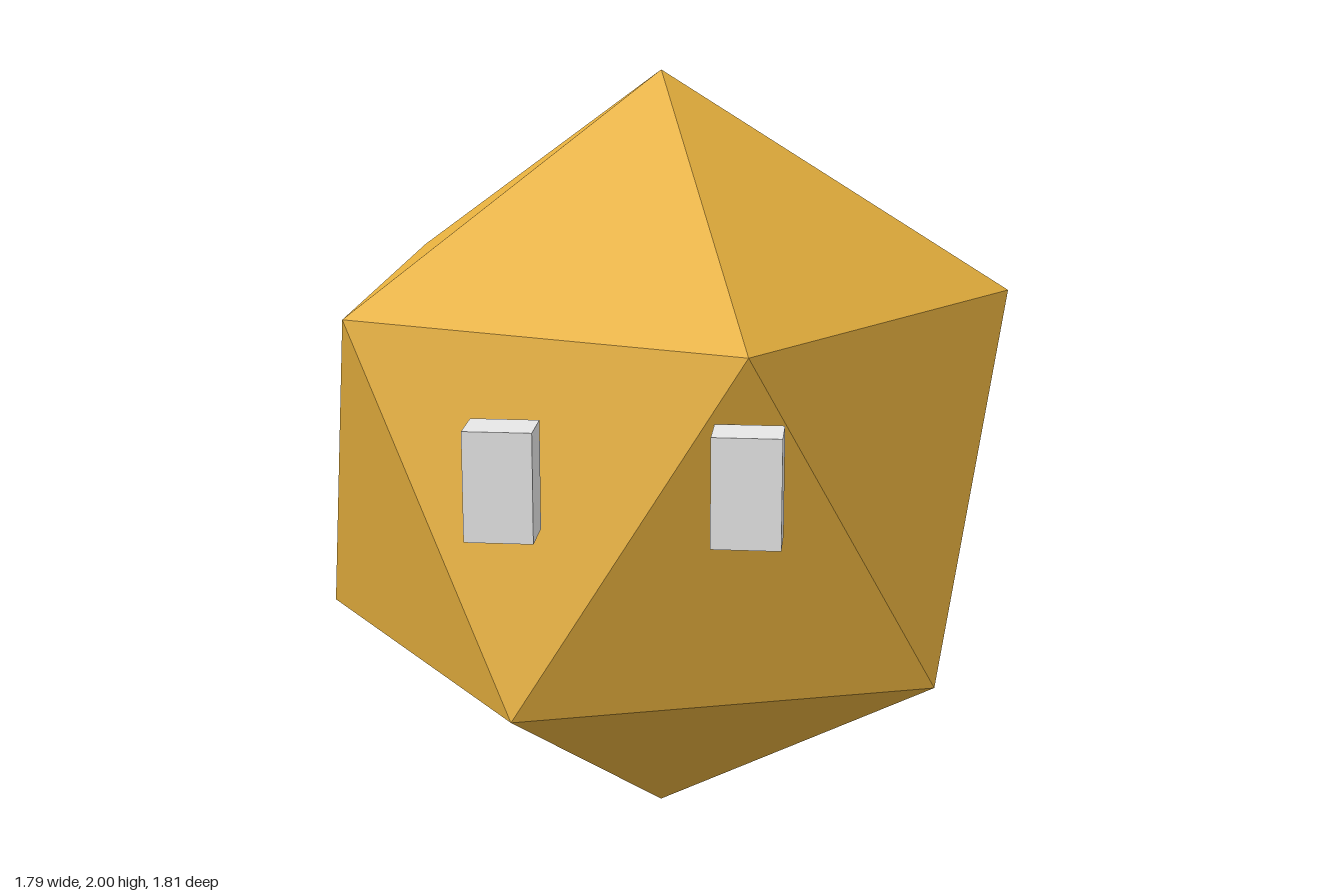
import * as THREE from 'three';

export function createModel() {
  const model = new THREE.Group();
  model.name = 'model';

  const gold = new THREE.MeshStandardMaterial({ color: 0xe6b03e, flatShading: true });
  gold.name = 'gold';
  const paleGrey = new THREE.MeshStandardMaterial({ color: 0xe8e8e8, flatShading: true });
  paleGrey.name = 'pale grey';

  // Body: icosahedron turned to stand on one corner
  const bodyGeometry = new THREE.IcosahedronGeometry(1, 0);
  bodyGeometry.rotateZ(-Math.atan(2 / (1 + Math.sqrt(5))));
  const body = new THREE.Mesh(bodyGeometry, gold);
  body.name = 'body';
  body.position.set(0, 1, -0.054);
  model.add(body);

  // Eyes: a mirrored pair of upright blocks at the front
  for (const side of [1, -1]) {
    const eye = new THREE.Mesh(new THREE.BoxGeometry(0.16, 0.26, 0.12), paleGrey);
    eye.name = side > 0 ? 'leftEye' : 'rightEye';
    eye.position.set(side * 0.28, 1.16, 0.845);
    model.add(eye);
  }
  return model;
}
